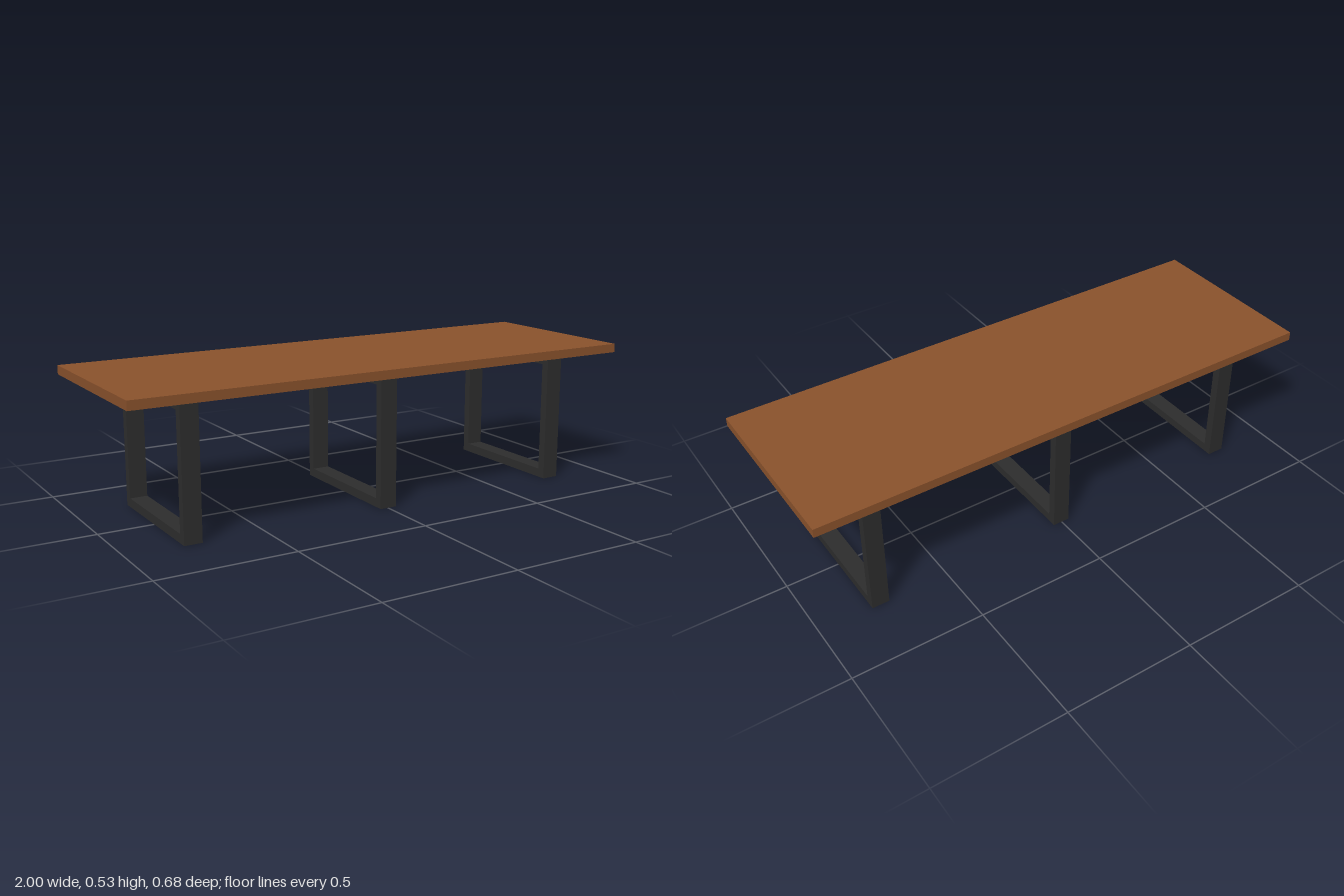
import * as THREE from 'three';

export function createModel() {
  const model = new THREE.Group();
  model.name = 'table';
  const wood = new THREE.MeshStandardMaterial({ color: 0x8a522c });
  wood.name = 'brown wood';
  const metal = new THREE.MeshStandardMaterial({ color: 0x2d2d2d });
  metal.name = 'black metal';

  // Long rectangular slab
  const top = new THREE.Mesh(new THREE.BoxGeometry(2, 0.033, 0.684), wood);
  top.name = 'tableTop';
  top.position.y = 0.5105;
  model.add(top);

  // Closed rectangular leg frame, drawn in z/y and extruded along x
  const width = 0.066;
  const rectangle = (path, z, y0, y1) => {
    path.moveTo(-z, y0);
    path.lineTo(z, y0);
    path.lineTo(z, y1);
    path.lineTo(-z, y1);
    path.closePath();
    return path;
  };
  const outline = rectangle(new THREE.Shape(), 0.262, 0, 0.493);
  outline.holes.push(rectangle(new THREE.Path(), 0.23, 0.033, 0.454));
  const frame = new THREE.ExtrudeGeometry(outline, { depth: width, bevelEnabled: false });
  frame.translate(0, 0, -width / 2);
  frame.rotateY(Math.PI / 2);

  // Three frames along the table
  const places = { rightLegFrame: -0.763, middleLegFrame: 0.002, leftLegFrame: 0.766 };
  for (const [name, x] of Object.entries(places)) {
    const leg = new THREE.Mesh(frame, metal);
    leg.name = name;
    leg.position.x = x;
    model.add(leg);
  }
  return model;
}
